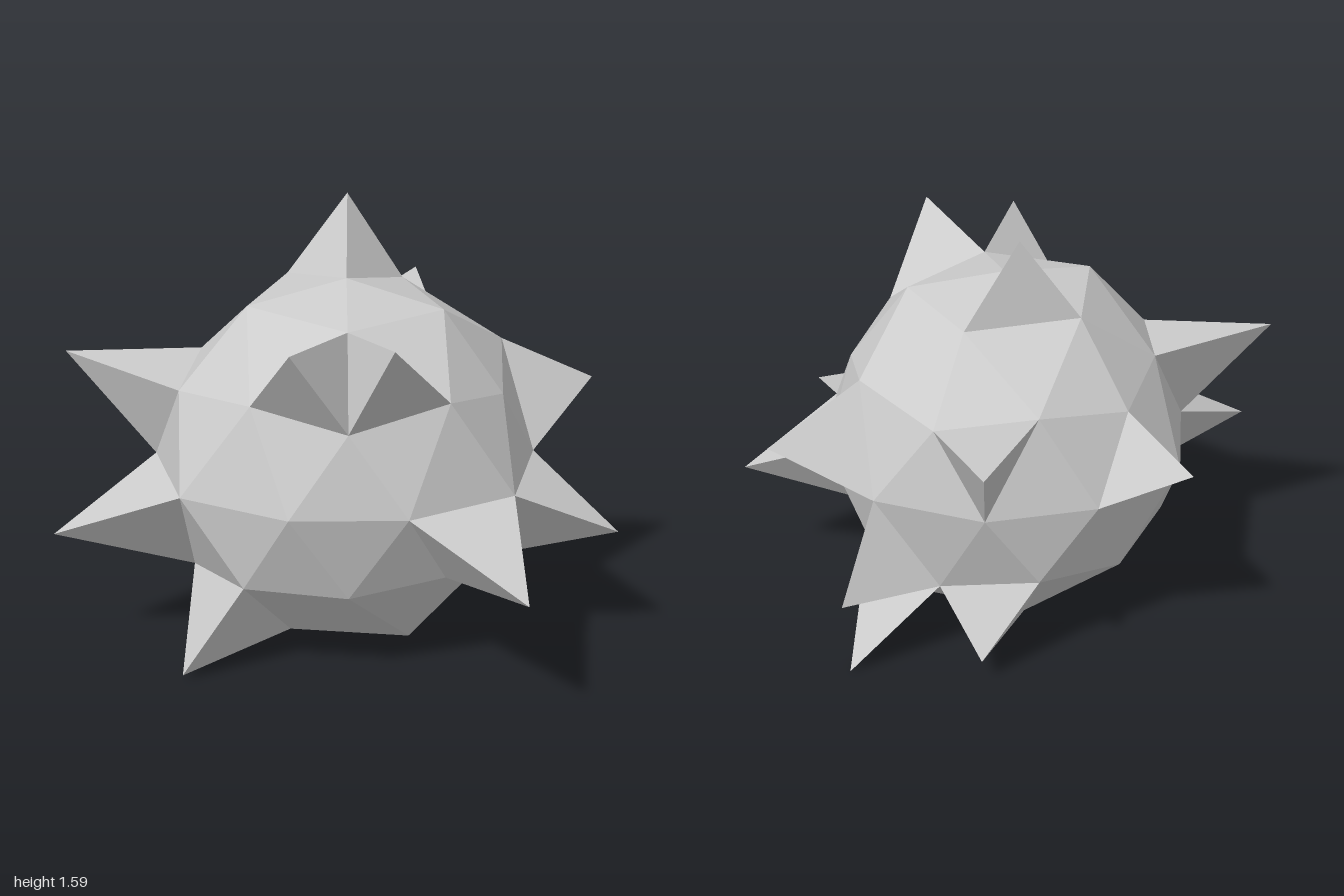
import * as THREE from 'three';

// Rings of a once-subdivided icosahedron: [height, horizontal, first azimuth in degrees, step, radii]
const RINGS = {
  top: [1, 0, 0, 360, [0.665]],
  cap: [0.8507, 0.5257, 0, 72, [0.685, 0.685, 0.705, 0.70, 0.68]],
  upper: [0.4472, 0.8944, 0, 72, [0.65, 0.66, 0.70, 0.665, 0.69]],
  upperMid: [0.5257, 0.8507, 36, 72, [0.70, 0.67, 0.66, 0.675, 0.71]],
  belt: [0, 1, 18, 36, [0.72, 0.665, 0.665, 0.725, 0.70, 0.71, 0.67, 0.675, 0.705, 0.685]],
  lowerMid: [-0.5257, 0.8507, 0, 72, [0.65, 0.64, 0.69, 0.68, 0.685]],
  lower: [-0.4472, 0.8944, 36, 72, [0.65, 0.70, 0.68, 0.68, 0.66]],
  base: [-0.8507, 0.5257, 36, 72, [0.71, 0.68, 0.70, 0.69, 0.71]],
  bottom: [-1, 0, 0, 360, [0.665]],
};
const CENTER = new THREE.Vector3(-0.01, 0.685, 0.155);

// Point of a ring at an azimuth measured from +x towards +z
function point(ring, azimuth) {
  const [y, h, start, step, radii] = RINGS[ring];
  const a = ((azimuth % 360) + 360) % 360;
  const r = radii[Math.round((a - start) / step)];
  const t = THREE.MathUtils.degToRad(a);
  return new THREE.Vector3(h * Math.cos(t), y, h * Math.sin(t)).multiplyScalar(r).add(CENTER);
}

// Four small faces from three corners and the midpoints opposite to each
const split = ([a, b, c], [ab, bc, ca]) => [[a, ab, ca], [b, bc, ab], [c, ca, bc], [ab, bc, ca]];

function allFaces() {
  const faces = [];
  for (let a = 0; a < 360; a += 72) {
    const m = a + 36, n = a + 72, m2 = a + 108;
    faces.push(
      ...split([['top', 0], ['upper', a], ['upper', n]], [['cap', a], ['upperMid', m], ['cap', n]]),
      ...split([['upper', a], ['upper', n], ['lower', m]], [['upperMid', m], ['belt', a + 54], ['belt', a + 18]]),
      ...split([['lower', m], ['lower', m2], ['upper', n]], [['lowerMid', n], ['belt', a + 90], ['belt', a + 54]]),
      ...split([['bottom', 0], ['lower', m], ['lower', m2]], [['base', m], ['lowerMid', n], ['base', m2]]),
    );
  }
  return faces.map((face) => {
    const [p, q, r] = face.map(([ring, azimuth]) => point(ring, azimuth));
    const normal = q.clone().sub(p).cross(r.clone().sub(p));
    return normal.dot(p.clone().sub(CENTER)) > 0 ? [p, q, r] : [p, r, q];
  });
}

// Spike tips
const TIPS = [
  [-0.09, 1.59, -0.11],
  [-1.0, 1.06, 0.41],
  [-0.92, 0.49, 0.755],
  [-0.425, 0.02, 0.795],
  [1.0, 0.48, 0.12],
  [0.84, 0.5, 0.85],
  [0.495, 0, -0.515],
  [0.5, 0.34, -0.6],
  [0, 0.097, -0.54],
  [-0.05, 1.08, -0.905],
  [0.785, 0.87, -0.4],
  [0.37, 1.34, 0.84],
  [0.03, 1.31, 0.905],
  [-0.735, 0.84, -0.39],
].map((t) => new THREE.Vector3(...t));

function facetMesh(triangles, material, name) {
  const geometry = new THREE.BufferGeometry().setFromPoints(triangles.flat());
  geometry.computeVertexNormals();
  const mesh = new THREE.Mesh(geometry, material);
  mesh.name = name;
  return mesh;
}

export function createModel() {
  const group = new THREE.Group();
  group.name = 'spikyBall';
  const stone = new THREE.MeshStandardMaterial({ color: 0xcccccc, flatShading: true });
  stone.name = 'stoneGrey';

  // Each spike grows out of the face its tip points away from
  const open = new Set(allFaces());
  const alignment = (face, dir) => face[0].clone().add(face[1]).add(face[2]).divideScalar(3)
    .sub(CENTER).normalize().dot(dir);
  TIPS.forEach((tip, i) => {
    const dir = tip.clone().sub(CENTER).normalize();
    const face = [...open].reduce((best, f) => (alignment(f, dir) > alignment(best, dir) ? f : best));
    open.delete(face);
    const [a, b, c] = face;
    group.add(facetMesh([[a, b, tip], [b, c, tip], [c, a, tip]], stone, `spike${i + 1}`));
  });

  // Remaining faces form the faceted ball
  group.add(facetMesh([...open], stone, 'ball'));
  return group;
}
